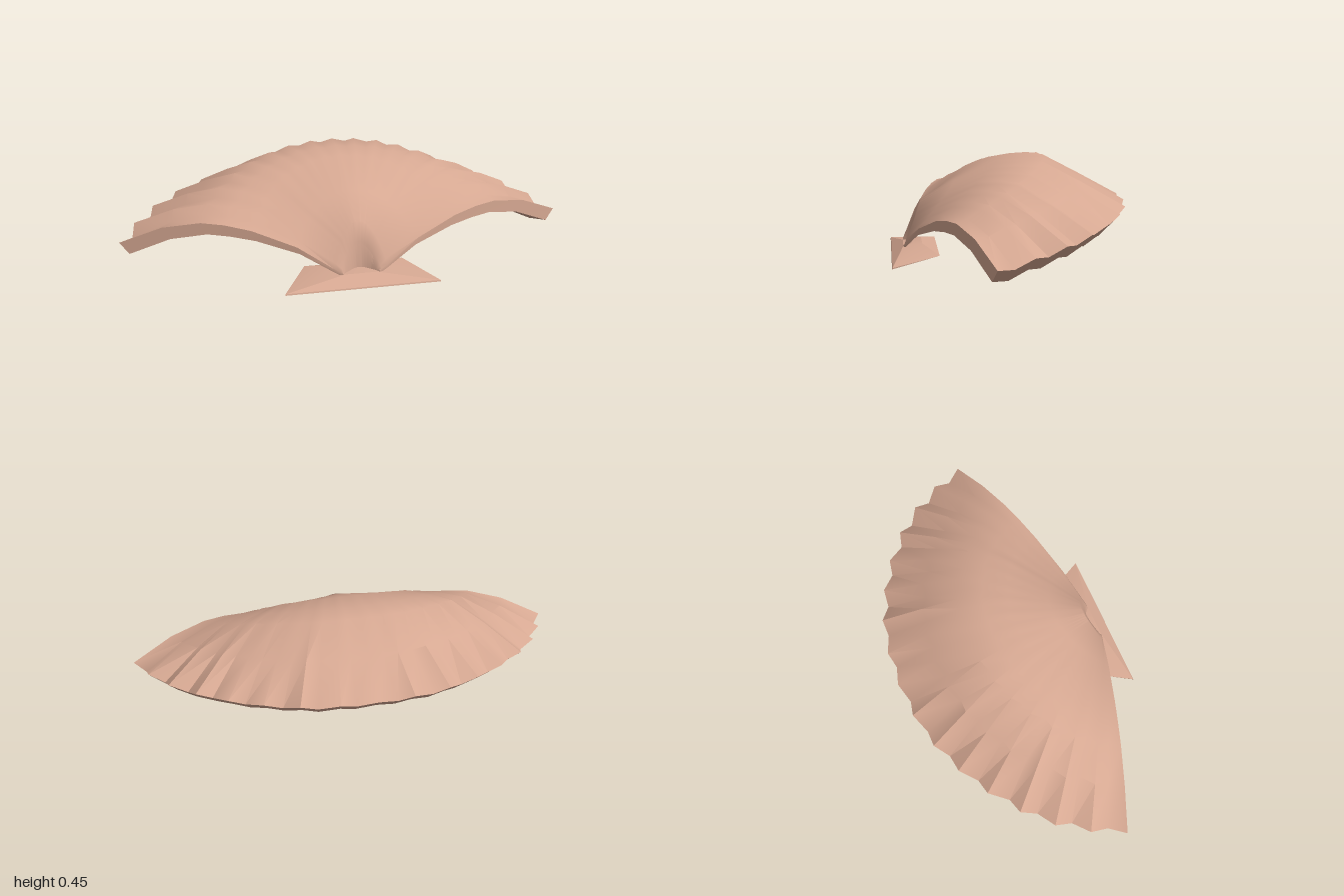
import * as THREE from 'three';
import { toCreasedNormals } from 'three/addons/utils/BufferGeometryUtils.js';
import { ConvexGeometry } from 'three/addons/geometries/ConvexGeometry.js';

// Scalloped rim in plan (x, z) from the middle to one side; even = rib, odd = groove
const RIM = [
  [0, -0.53], [0.09, -0.505], [0.16, -0.52], [0.25, -0.485], [0.325, -0.485], [0.39, -0.435],
  [0.47, -0.425], [0.54, -0.36], [0.61, -0.345], [0.67, -0.265], [0.74, -0.245], [0.77, -0.175],
  [0.85, -0.125], [0.865, -0.05], [0.935, 0.01], [0.945, 0.09], [1, 0.16],
];
// Height along a spoke from hinge to rim: middle spoke and outermost spoke
const T = [0, 0.01, 0.04, 0.2, 0.4, 0.52, 0.625, 0.8, 1];
const MIDDLE = [0.07, 0.17, 0.25, 0.335, 0.435, 0.447, 0.448, 0.36, 0.255];
const EDGE = [0.05, 0.055, 0.07, 0.16, 0.225, 0.245, 0.25, 0.22, 0.14];

const lerp = THREE.MathUtils.lerp;
const HALF = RIM.length - 1;

// Closed cross-section of one spoke: out along the top, back along the underside
function spoke(k) {
  const a = k / HALF, i = Math.abs(k), side = Math.sign(k);
  const outer = [], inner = [];
  T.forEach((t, j) => {
    const x = lerp(0.08 * a, side * RIM[i][0], t);
    const z = lerp(0.43 + 0.045 * a * a, RIM[i][1], t);
    const groove = i % 2 ? 0.025 * t * t : 0;
    const y = lerp(MIDDLE[j], EDGE[j], a * a) - groove;
    const thick = 0.05 * Math.min(1, 0.3 + 1.5 * t);
    outer.push([x, y, z]);
    inner.unshift([x * 0.96, Math.max(0.01, y - thick), 0.47 + (z - 0.47) * 0.95]);
  });
  return [...outer, ...inner];
}

function shellGeometry() {
  const pos = [], index = [];
  const m = T.length * 2, n = HALF * 2;
  for (let k = -HALF; k <= HALF; k++) spoke(k).forEach((p) => pos.push(...p));
  const quad = (a, b, c, d) => index.push(a, b, c, a, c, d);
  for (let u = 0; u < n; u++) {
    for (let v = 0; v < m; v++) {
      const w = (v + 1) % m;
      quad(u * m + v, (u + 1) * m + v, (u + 1) * m + w, u * m + w);
    }
  }
  // Walls along the two straight front edges
  for (let j = 0; j < T.length - 1; j++) {
    const o = n * m, q = m - 1 - j;
    quad(o + q, o + q - 1, o + j + 1, o + j);
    quad(j, j + 1, q - 1, q);
  }
  const g = new THREE.BufferGeometry();
  g.setAttribute('position', new THREE.Float32BufferAttribute(pos, 3));
  g.setIndex(index);
  return toCreasedNormals(g, 0.75);
}

export function createModel() {
  const model = new THREE.Group();
  model.name = 'scallopShell';
  const shellPink = new THREE.MeshStandardMaterial({ color: 0xd6a892, side: THREE.DoubleSide });
  shellPink.name = 'shellPink';

  // Ribbed fan
  const fan = new THREE.Mesh(shellGeometry(), shellPink);
  fan.name = 'ribbedFan';
  model.add(fan);

  // Hinge wings: a shallow wedge that thins toward its outer corners
  const corners = [];
  for (const s of [-1, 1]) {
    corners.push(
      new THREE.Vector3(s * 0.335, 0, 0.53),
      new THREE.Vector3(s * 0.335, 0.006, 0.528),
      new THREE.Vector3(s * 0.22, 0.028, 0.32),
      new THREE.Vector3(s * 0.07, 0.046, 0.475),
      new THREE.Vector3(s * 0.07, 0.055, 0.39),
      new THREE.Vector3(s * 0.05, 0.003, 0.46),
    );
  }
  const hinge = new THREE.Mesh(toCreasedNormals(new ConvexGeometry(corners), 0.4), shellPink);
  hinge.name = 'hingeWings';
  model.add(hinge);

  return model;
}
